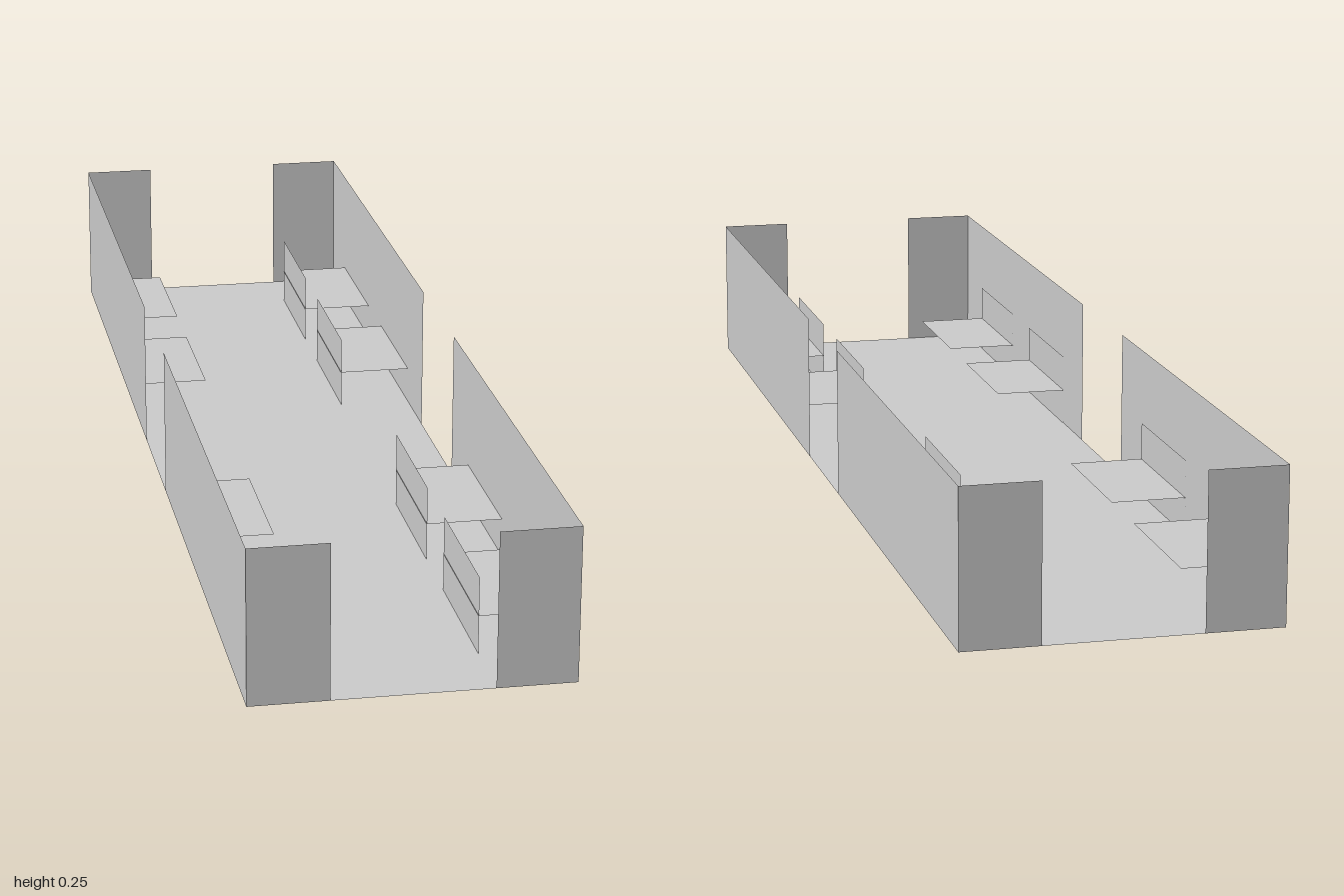
import * as THREE from 'three';

const material = new THREE.MeshStandardMaterial({ color: 0xcccccc, side: THREE.DoubleSide });

// Thin rectangular sheet: axis is the direction its front faces
function sheet(name, axis, width, height, x, y, z) {
  const geometry = new THREE.PlaneGeometry(width, height);
  if (axis === 'x') geometry.rotateY(Math.PI / 2);
  if (axis === 'y') geometry.rotateX(-Math.PI / 2);
  const mesh = new THREE.Mesh(geometry, material);
  mesh.name = name;
  mesh.position.set(x, y, z);
  return mesh;
}

// Bench: a seat sheet with an upright back on its -x edge
function createBench(x, z) {
  const bench = new THREE.Group();
  bench.name = 'bench';
  bench.add(
    sheet('benchSeat', 'y', 0.125, 0.25, 0.0625, 0.0625, 0),
    sheet('benchBack', 'x', 0.25, 0.125, 0.001, 0.0625, 0)
  );
  bench.position.set(x, 0, z);
  return bench;
}

export function createModel() {
  const model = new THREE.Group();
  model.name = 'openCarriage';

  model.add(sheet('floor', 'y', 0.5, 2, 0, 0, 0));

  // Four L-shaped walls, leaving doorways at both ends and both sides
  for (const sx of [-1, 1]) {
    for (const sz of [-1, 1]) {
      const wall = new THREE.Group();
      wall.name = 'cornerWall';
      const side = sheet('sideWall', 'x', 0.875, 0.25, sx * 0.25, 0.125, sz * 0.5625);
      const end = sheet('endWall', 'z', 0.125, 0.25, sx * 0.1875, 0.125, sz);
      if (sx < 0) side.rotation.y = Math.PI;
      if (sz < 0) end.rotation.y = Math.PI;
      wall.add(side, end);
      model.add(wall);
    }
  }

  // Two rows of benches, all facing the same way
  for (const x of [-0.25, 0.125]) {
    for (const z of [-0.75, -0.375, 0.375, 0.75]) model.add(createBench(x, z));
  }

  return model;
}
